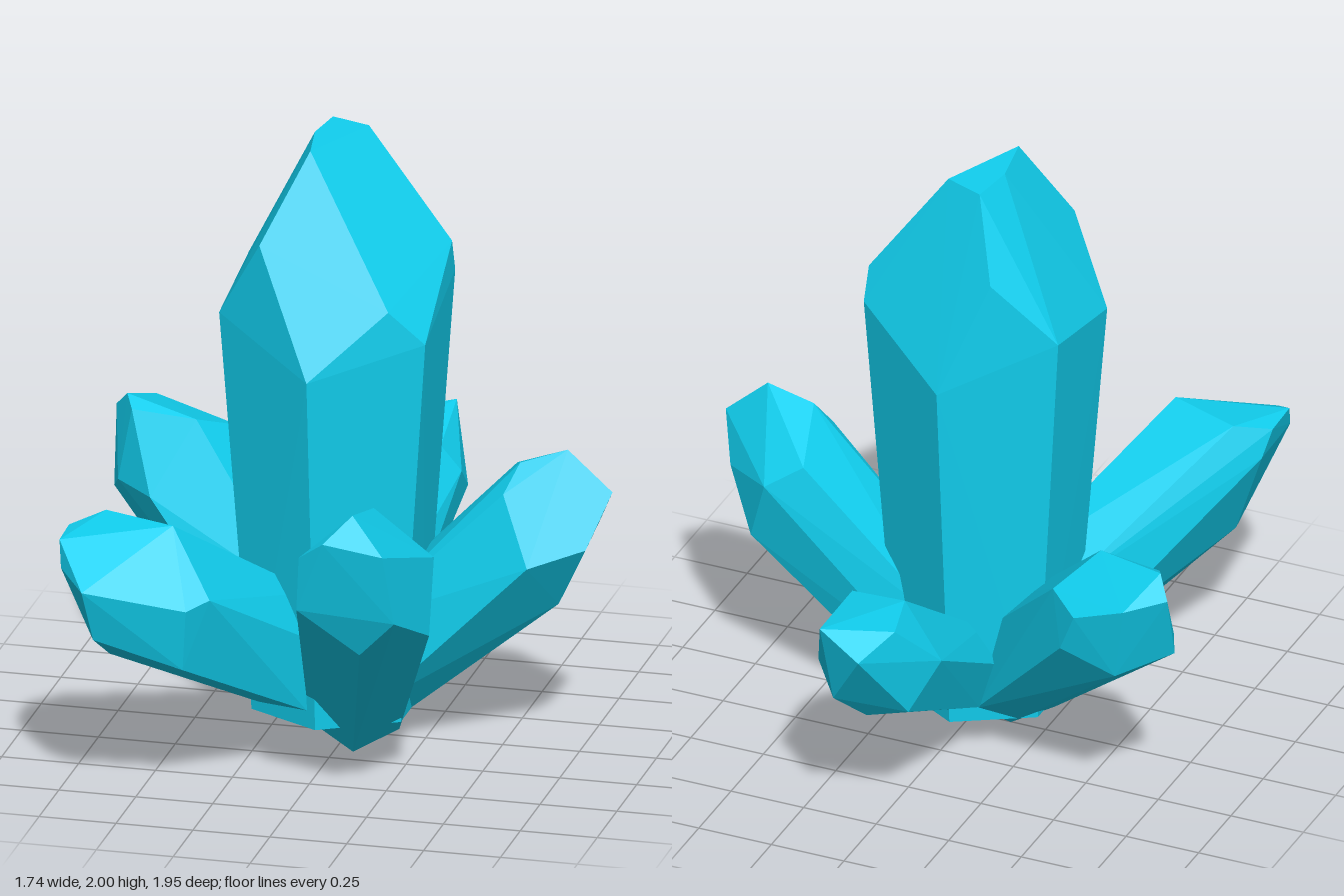
import * as THREE from 'three';
import { ConvexGeometry } from 'three/addons/geometries/ConvexGeometry.js';

const crystalMaterial = new THREE.MeshStandardMaterial({ color: 0x11d0f0, flatShading: true });

// A crystal is the faceted hull around a root ring, a shoulder ring and a cut tip.
function crystal(name, { root, shoulder, tip }) {
  const points = [...root, ...shoulder, ...tip].map((p) => new THREE.Vector3(...p));
  const mesh = new THREE.Mesh(new ConvexGeometry(points), crystalMaterial);
  mesh.name = name;
  return mesh;
}

// Six-sided horizontal ring, one corner facing the front.
function hexRing(radius, y, cx, cz) {
  return Array.from({ length: 6 }, (_, i) => {
    const a = (i * Math.PI) / 3;
    return [cx + radius * Math.sin(a), y, cz + radius * Math.cos(a)];
  });
}

const crystals = {
  // tall upright crystal
  mainCrystal: {
    root: hexRing(0.28, 0.11, -0.03, 0.03),
    shoulder: [
      [-0.03, 1.31, 0.42], [0.305, 1.4, 0.22], [0.305, 1.52, -0.16],
      [-0.03, 1.36, -0.35], [-0.365, 1.52, -0.16], [-0.365, 1.45, 0.22],
    ],
    tip: [
      [0.2, 1.52, 0.28], [0.305, 1.63, -0.12], [-0.21, 1.72, 0.315], [-0.18, 1.75, -0.27],
      [-0.08, 2, 0.175], [0.04, 2, -0.1], [-0.09, 2, -0.15], [-0.11, 2, 0],
    ],
  },
  // leaning side crystals
  frontLeftCrystal: {
    root: [
      [0.06, 0, 0.18], [0.19, 0.06, 0.1], [0.18, 0.2, -0.05],
      [0.04, 0.3, -0.06], [-0.1, 0.24, 0.03], [-0.09, 0.08, 0.15],
    ],
    shoulder: [
      [0.24, 0.56, 0.8], [0.415, 0.57, 0.6], [0.4, 0.79, 0.48],
      [0.22, 0.96, 0.54], [0, 0.8, 0.6], [0.04, 0.7, 0.82],
    ],
    tip: [
      [0.37, 0.7, 0.87], [0.34, 0.93, 0.9], [0.14, 0.95, 0.88],
      [0.22, 1.03, 0.81], [0.05, 0.88, 0.83],
    ],
  },
  frontRightCrystal: {
    root: [
      [-0.06, 0.17, 0.3], [-0.22, 0.12, 0.15], [-0.3, 0.25, 0.08],
      [-0.28, 0.48, 0.08], [-0.08, 0.5, 0.12], [-0.03, 0.38, 0.25],
    ],
    shoulder: [
      [-0.34, 0.45, 0.78], [-0.6, 0.45, 0.69], [-0.72, 0.77, 0.62],
      [-0.64, 0.89, 0.58], [-0.4, 0.89, 0.67], [-0.26, 0.68, 0.75],
    ],
    tip: [
      [-0.6, 0.57, 0.9], [-0.32, 0.66, 0.82], [-0.62, 0.75, 0.97],
      [-0.72, 0.78, 0.84], [-0.735, 0.86, 0.8], [-0.74, 0.86, 0.66],
    ],
  },
  leftCrystal: {
    root: [
      [0.2, 0.1, 0.03], [0.12, 0.15, 0.14], [0.05, 0.4, 0.09],
      [0.03, 0.4, -0.15], [0.1, 0.25, -0.17], [0.17, 0.11, -0.12],
    ],
    shoulder: [
      [0.69, 0.5, 0.03], [0.63, 0.67, 0.2], [0.53, 0.88, 0.11],
      [0.5, 0.88, -0.19], [0.62, 0.8, -0.225], [0.69, 0.58, -0.17],
    ],
    tip: [
      [0.8, 0.72, 0.12], [0.865, 0.89, 0.03], [0.72, 1.02, 0.03],
      [0.57, 0.97, 0.05], [0.8, 0.76, -0.08],
    ],
  },
  backCrystal: {
    root: [
      [0.02, 0.15, -0.22], [0.13, 0.25, -0.17], [0.1, 0.42, -0.17],
      [-0.1, 0.42, -0.15], [-0.17, 0.3, -0.15], [-0.12, 0.17, -0.22],
    ],
    shoulder: [
      [0.02, 0.41, -0.78], [0.19, 0.57, -0.77], [0.2, 0.66, -0.65], [0.14, 0.75, -0.62],
      [-0.05, 0.77, -0.64], [-0.19, 0.6, -0.67], [-0.12, 0.45, -0.77],
    ],
    tip: [
      [0.09, 0.51, -0.88], [0.11, 0.79, -0.94], [-0.04, 0.72, -0.98], [-0.1, 0.77, -0.83],
    ],
  },
  backRightCrystal: {
    root: [
      [-0.28, 0.09, 0], [-0.18, 0.07, -0.11], [-0.1, 0.15, -0.2],
      [-0.1, 0.4, -0.11], [-0.15, 0.45, 0.05], [-0.27, 0.25, 0.1],
    ],
    shoulder: [
      [-0.855, 0.62, -0.36], [-0.72, 0.59, -0.52], [-0.54, 0.66, -0.54],
      [-0.48, 0.82, -0.46], [-0.57, 0.89, -0.29], [-0.69, 0.66, -0.17],
    ],
    tip: [
      [-0.83, 0.66, -0.31], [-0.79, 0.89, -0.33], [-0.82, 0.92, -0.39],
      [-0.87, 0.86, -0.45], [-0.77, 0.86, -0.57], [-0.6, 0.8, -0.57],
    ],
  },
};

export function createModel() {
  const model = new THREE.Group();
  model.name = 'crystalCluster';
  for (const [name, rings] of Object.entries(crystals)) model.add(crystal(name, rings));
  return model;
}
